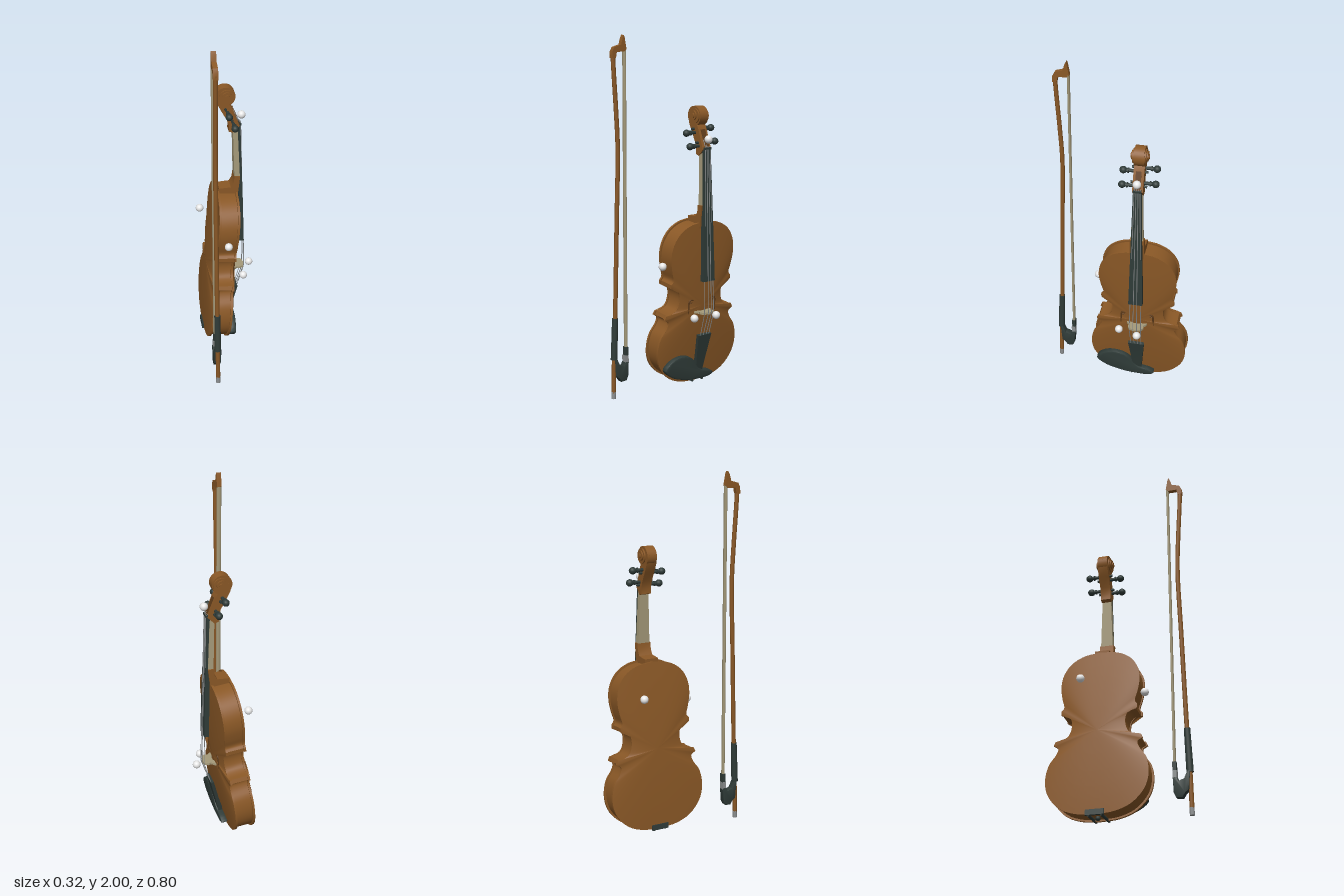
import * as THREE from 'three';
import { toCreasedNormals } from 'three/addons/utils/BufferGeometryUtils.js';

const V = (x, y, z) => new THREE.Vector3(x, y, z);
const lerp = THREE.MathUtils.mapLinear;

export function createModel() {
  const mat = (name, color) => Object.assign(new THREE.MeshStandardMaterial({ color }), { name });
  const wood = mat('varnished wood', 0x8a5826);
  const shade = mat('dark wood', 0x5f3c1a);
  const ebony = mat('ebony', 0x2f3b38);
  const pale = mat('pale maple and hair', 0xa59a7a);
  const steel = mat('steel', 0x8c8f90);
  const pearl = mat('pearl', 0xf0f0f0);

  const model = new THREE.Group();
  const add = (parent, name, geo, m, x = 0, y = 0, z = 0) => {
    const mesh = new THREE.Mesh(geo, m);
    mesh.name = name;
    mesh.position.set(x, y, z);
    parent.add(mesh);
    return mesh;
  };
  const shapeOf = pts => new THREE.Shape(pts.map(p => new THREE.Vector2(p[0], p[1])));
  // Side profile in x,y, extruded along z; half width may follow y
  const profile = (pts, half) => {
    const g = new THREE.ExtrudeGeometry(shapeOf(pts), { depth: 2, bevelEnabled: false, steps: 1 });
    g.translate(0, 0, -1);
    const p = g.attributes.position;
    for (let i = 0; i < p.count; i++) p.setZ(i, p.getZ(i) * (typeof half === 'function' ? half(p.getY(i)) : half));
    return toCreasedNormals(g, 0.6);
  };
  // Face profile in z,y, extruded along x
  const facing = (pts, depth, bevel = 0) => {
    const g = new THREE.ExtrudeGeometry(shapeOf(pts.map(p => [-p[0], p[1]])), {
      depth, bevelEnabled: bevel > 0, bevelSize: bevel, bevelThickness: bevel, bevelOffset: -bevel, bevelSegments: 2 });
    return toCreasedNormals(g.rotateY(Math.PI / 2), 0.6);
  };
  const rod = (a, b, r, r2 = r, n = 8) => {
    const d = b.clone().sub(a);
    const g = new THREE.CylinderGeometry(r2, r, d.length(), n);
    g.applyQuaternion(new THREE.Quaternion().setFromUnitVectors(V(0, 1, 0), d.clone().normalize()));
    const c = a.clone().add(b).multiplyScalar(0.5);
    return g.translate(c.x, c.y, c.z);
  };
  const tube = (pts, r, n = 24) => new THREE.TubeGeometry(new THREE.CatmullRomCurve3(pts.map(p => V(...p))), n, r, 8);
  const smooth = (pts, n, closed = false) =>
    new THREE.CatmullRomCurve3(pts.map(p => V(p[0], p[1], 0)), closed).getPoints(n).map(p => [p.x, p.y]);

  // ---- Violin body, leaning slightly forward ----
  const violin = new THREE.Group();
  violin.name = 'violin';
  violin.position.z = -0.114;
  model.add(violin);
  const body = new THREE.Group();
  body.name = 'body';
  body.position.set(-0.043, 0.5, 0);
  body.rotation.z = -0.092;
  violin.add(body);

  const half = [
    ...smooth([[0, .035], [.1, .043], [.19, .078], [.26, .155], [.281, .24], [.265, .33], [.228, .385], [.218, .42], [.245, .44]], 28),
    ...smooth([[.235, .462], [.2, .468], [.165, .488], [.148, .54], [.154, .585], [.175, .612], [.212, .618]], 20),
    ...smooth([[.212, .64], [.198, .66], [.21, .71], [.222, .785], [.211, .86], [.17, .925], [.1, .967], [0, .982]], 24),
  ].map(p => [p[0], p[1] - 0.5]);
  const outline = [...half, ...half.slice(1, -1).reverse().map(p => [-p[0], p[1]])];

  const dome = height => {
    const rings = [1, .93, .82, .68, .5, .3, .1, 0], n = outline.length, pos = [], idx = [];
    for (const t of rings) for (const [u, v] of outline) pos.push(u * t, v * t, height * (1 - t * t));
    for (let r = 0; r < rings.length - 1; r++) for (let i = 0; i < n; i++) {
      const a = r * n + i, b = r * n + (i + 1) % n;
      idx.push(a, b, b + n, a, b + n, a + n);
    }
    const g = new THREE.BufferGeometry();
    g.setAttribute('position', new THREE.Float32BufferAttribute(pos, 3));
    g.setIndex(idx);
    g.computeVertexNormals();
    return g;
  };
  add(body, 'ribs', facing(outline.map(p => [p[0] * .965, p[1] * .98]), .094), wood, -.047);
  for (const [name, side, arch] of [['belly', 1, .024], ['back', -1, .02]]) {
    const plate = new THREE.Group();
    plate.name = name;
    plate.rotation.y = side * Math.PI / 2;
    body.add(plate);
    const edge = new THREE.ExtrudeGeometry(shapeOf(outline), { depth: .012, bevelEnabled: false });
    add(plate, name + 'Edge', toCreasedNormals(edge, .6), wood, 0, 0, .046);
    add(plate, name + 'Arch', dome(arch), wood, 0, 0, .0582);
  }

  // Sound holes
  for (const s of [-1, 1]) {
    add(body, 'soundHole', tube([[.073, .018, .085], [.072, .026, .065], [.074, .037, .062], [.074, .032, .088],
      [.074, -.02, .094], [.07, -.09, .1], [.066, -.118, .122], [.065, -.105, .142], [.066, -.092, .13]]
      .map(p => [p[0], p[1], p[2] * s]), .005, 40), shade);
  }

  // Chin rest with its clamp
  const rest = smooth([[.245, -.355], [.2, -.305], [.13, -.287], [.06, -.31], [.0, -.385], [-.07, -.405], [-.1, -.425],
    [-.08, -.44], [.0, -.446], [.1, -.435], [.2, -.4]], 48, true);
  add(body, 'chinRest', facing(rest, .024, .008), ebony, .066);
  for (const z of [-.035, .035]) add(body, 'chinRestClamp', rod(V(-.06, -.468, z), V(.08, -.455, z), .008), ebony);
  add(body, 'chinRestFoot', new THREE.BoxGeometry(.012, .03, .1), ebony, -.062, -.455, 0);
  add(body, 'endButton', new THREE.SphereGeometry(.014, 12, 8), ebony, 0, -.466, 0);

  // ---- Neck, fingerboard and head ----
  add(violin, 'heel', profile([[-.045, .965], [.06, .94], [.075, 1.07], [.043, 1.07], [.038, 1.03], [.022, 1.004], [-.045, 1.0]], .04), wood);
  add(violin, 'neck', profile([[.043, 1.065], [.074, 1.065], [.062, 1.36], [.036, 1.345]], y => lerp(y, 1.06, 1.36, .034, .025)), pale);
  add(violin, 'fingerboard', profile([[.071, .64], [.098, .64], [.092, .9], [.077, 1.38], [.058, 1.38]],
    y => lerp(y, .64, 1.38, .04, .023)), ebony);
  add(violin, 'nut', new THREE.BoxGeometry(.025, .012, .046), ebony, .07, 1.385, 0);
  add(violin, 'pegbox', profile([[.012, 1.35], [.036, 1.342], [.073, 1.38], [.055, 1.425], [.034, 1.485], [.012, 1.525],
    [-.02, 1.56], [-.06, 1.57], [-.05, 1.52], [-.028, 1.475], [.002, 1.42], [.014, 1.38]], .029), wood);
  add(violin, 'pegboxSlot', profile([[.074, 1.39], [.076, 1.39], [.037, 1.487], [.035, 1.485]], .015), shade);

  // Scroll: stepped turns narrowing toward the eye
  for (const [x, y, r, w] of [[-.006, 1.559, .055, .056], [.002, 1.56, .041, .072], [.0, 1.563, .027, .088], [.002, 1.562, .014, .1]]) {
    const g = new THREE.CylinderGeometry(r, r, w, 32).rotateX(Math.PI / 2);
    add(violin, 'scrollTurn', g, wood, x, y, 0);
  }

  // Tuning pegs
  for (const [x, y, s] of [[.005, 1.468, 1], [.037, 1.397, 1], [-.006, 1.487, -1], [.03, 1.415, -1]]) {
    const peg = new THREE.Group();
    peg.name = 'tuningPeg';
    peg.position.set(x, y, 0);
    violin.add(peg);
    add(peg, 'pegShaft', rod(V(0, 0, -.045 * s), V(0, 0, .075 * s), .007, .01, 12), ebony);
    add(peg, 'pegCollar', rod(V(0, 0, .058 * s), V(0, 0, .066 * s), .014, .014, 12), ebony);
    add(peg, 'pegHead', new THREE.SphereGeometry(.022, 16, 10), ebony, 0, 0, .09 * s).scale.set(.9, .9, .95);
  }

  // ---- Bridge, tailpiece and strings ----
  const bridge = [[-.062, 0], [-.03, 0], [-.02, .018], [.02, .018], [.03, 0], [.062, 0], [.056, .018], [.04, .035],
    [.046, .05], [.036, .07], [0, .08], [-.036, .07], [-.046, .05], [-.04, .035], [-.056, .018]];
  const bridgeGeo = new THREE.ExtrudeGeometry(shapeOf(bridge), { depth: .012, bevelEnabled: false })
    .rotateZ(-Math.PI / 2).rotateX(Math.PI / 2);
  add(violin, 'bridge', bridgeGeo, pale, .024, .462, 0);
  add(violin, 'tailpiece', profile([[.045, .327], [.062, .322], [.032, .2], [.004, .08], [-.025, .08], [.012, .2]],
    y => lerp(y, .08, .327, .022, .047)), ebony);
  add(violin, 'tailgut', rod(V(-.01, .09, 0), V(-.08, .036, 0), .006), ebony);
  for (let i = 0; i < 4; i++) {
    const k = (i - 1.5) / 1.5, top = .106 - .008 * k * k;
    add(violin, 'string', rod(V(top, .456, .033 * k), V(.08, 1.39, .016 * k), .0022, .0022, 6), steel);
    add(violin, 'stringTail', rod(V(.057, .315, .03 * k), V(top, .456, .033 * k), .0022, .0022, 6), steel);
    add(violin, 'stringHead', rod(V(.08, 1.39, .016 * k), V(.035, 1.4 + .024 * i, .01 * k), .0022, .0022, 6), steel);
  }

  // ---- Bow ----
  const bow = new THREE.Group();
  bow.name = 'bow';
  bow.position.x = -.125;
  model.add(bow);
  add(bow, 'stick', tube([[0, .03, .388], [0, .2, .384], [0, .45, .373], [0, 1, .355], [0, 1.4, .343], [0, 1.6, .351],
    [0, 1.8, .363], [0, 1.9, .368]], .0125, 60), wood);
  add(bow, 'bowHead', facing([[.38, 1.88], [.378, 1.915], [.366, 1.937], [.322, 1.95], [.312, 1.985], [.304, 2], [.299, 1.985],
    [.288, 1.925], [.302, 1.912], [.35, 1.912], [.356, 1.88]], .026), wood, -.013);
  add(bow, 'hair', rod(V(0, .24, .304), V(0, 1.925, .295), .008, .008, 8), pale).scale.x = 1.7;
  add(bow, 'grip', rod(V(0, .225, .383), V(0, .46, .373), .019, .017, 16), ebony);
  add(bow, 'frog', facing([[.372, .23], [.355, .19], [.325, .18], [.318, .2], [.296, .2], [.3, .12], [.312, .095],
    [.345, .092], [.36, .115], [.378, .13], [.386, .23]], .032, .004), ebony, -.016);
  add(bow, 'ferrule', new THREE.BoxGeometry(.032, .045, .022), steel, 0, .215, .306);
  add(bow, 'hairWedge', new THREE.BoxGeometry(.029, .05, .019), ebony, 0, .26, .304);
  add(bow, 'endScrew', rod(V(0, 0, .389), V(0, .04, .387), .013, .013, 12), steel);

  // Floating pearls
  for (const p of [[.086, 1.435, -.114], [-.14, .805, -.205], [-.021, .735, .122], [.086, .438, -.018], [.138, .451, -.132]])
    add(model, 'pearl', new THREE.SphereGeometry(.0225, 24, 16), pearl, ...p);

  return model;
}
